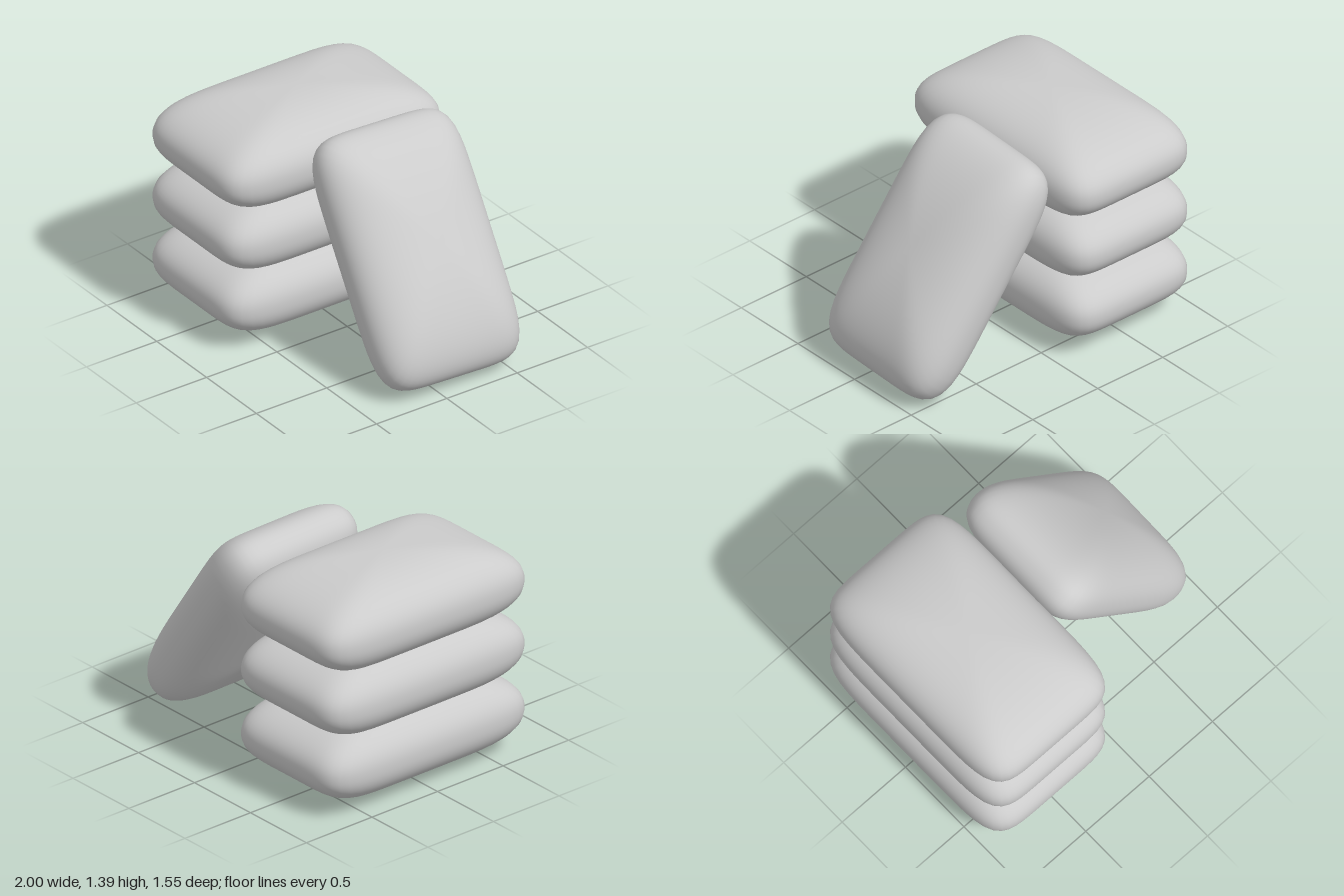
import * as THREE from 'three';
import { mergeVertices } from 'three/addons/utils/BufferGeometryUtils.js';

// Plump sack: a sphere pushed out to a rounded-rectangle plan with a swollen profile
function sackGeometry(halfWidth, halfHeight, halfLength) {
  const plan = 6.5, profile = 2.3;
  let geo = new THREE.SphereGeometry(1, 96, 48);
  const p = geo.attributes.position;
  for (let i = 0; i < p.count; i++) {
    const x = p.getX(i), y = p.getY(i), z = p.getZ(i);
    const flat = Math.pow(Math.abs(x) ** plan + Math.abs(z) ** plan, profile / plan);
    const k = Math.pow(flat + Math.abs(y) ** profile, -1 / profile);
    p.setXYZ(i, x * k * halfWidth, y * k * halfHeight, z * k * halfLength);
  }
  // weld the seam so the shading stays smooth all round
  geo.deleteAttribute('uv');
  geo.deleteAttribute('normal');
  geo = mergeVertices(geo, 1e-5);
  geo.computeVertexNormals();
  return geo;
}

export function createModel() {
  const group = new THREE.Group();
  group.name = 'sackPile';
  const material = new THREE.MeshStandardMaterial({ color: 0xcccccc });
  const geo = sackGeometry(0.489, 0.277, 0.776);

  // stack of three sacks lying flat
  const names = ['bottomSack', 'middleSack', 'topSack'];
  names.forEach((name, i) => {
    const sack = new THREE.Mesh(geo, material);
    sack.name = name;
    sack.position.set(-0.511, 0.279 + i * 0.417, 0);
    group.add(sack);
  });

  // fourth sack leaning against the stack, slightly skewed
  const leaning = new THREE.Mesh(geo, material);
  leaning.name = 'leaningSack';
  leaning.position.set(0.482, 0.705, -0.147);
  leaning.rotation.set(0, Math.PI / 2 - 0.036, THREE.MathUtils.degToRad(-55), 'ZYX');
  group.add(leaning);

  return group;
}
